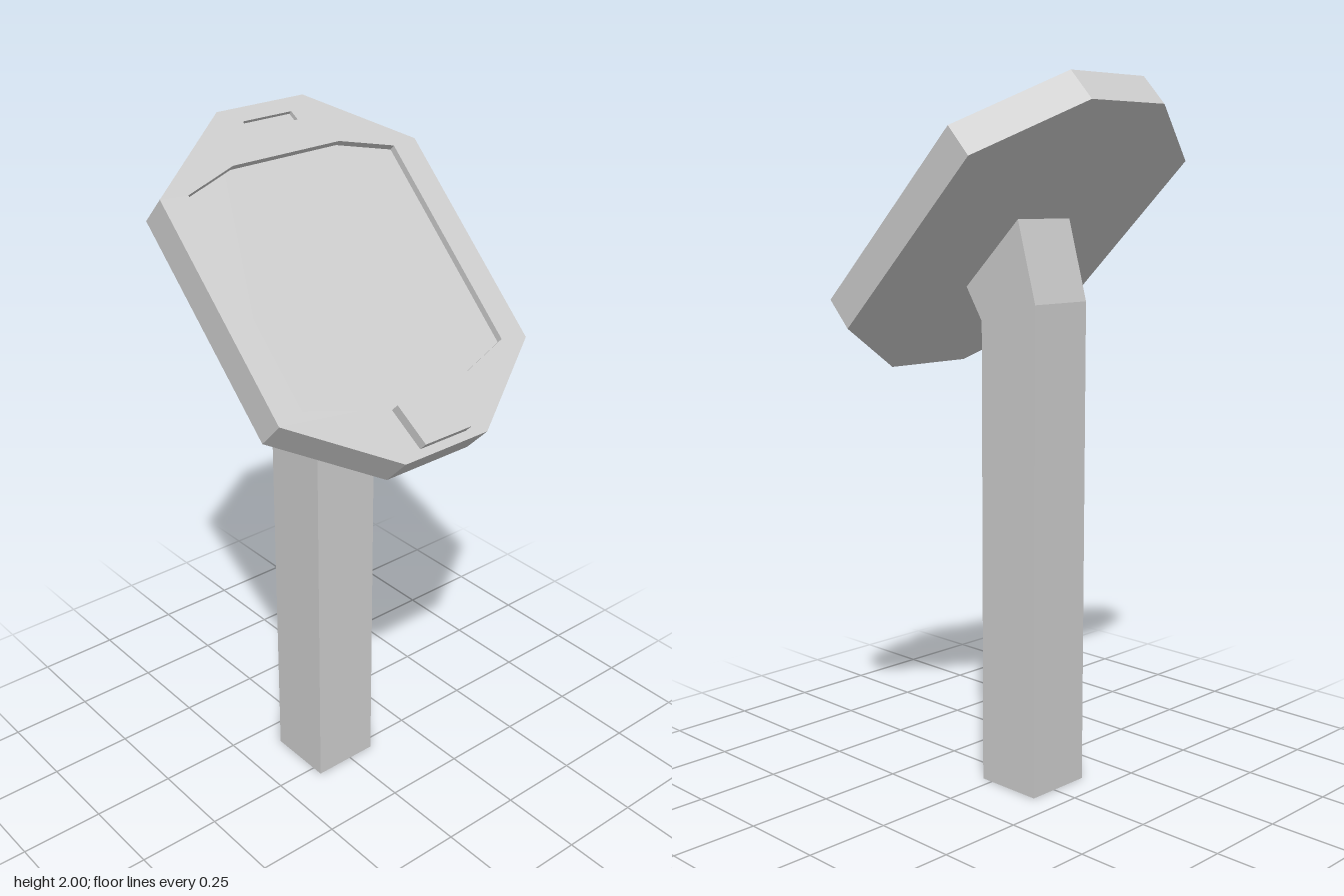
import * as THREE from 'three';

const material = new THREE.MeshStandardMaterial({ color: 0xcccccc, flatShading: true });
const points = (list) => list.map(([x, y]) => new THREE.Vector2(x, y));

// Mirrors a right-hand profile (bottom to top) into a full closed outline.
const mirrored = (half) => points([...half, ...half.map(([x, y]) => [-x, y]).reverse()]);

// Straight slab from an outline, spanning z0 to z1, with optional openings.
function slab(name, outline, z0, z1, holes = []) {
  const shape = new THREE.Shape(outline);
  shape.holes = holes.map((h) => new THREE.Path(h));
  const geometry = new THREE.ExtrudeGeometry(shape, { depth: z1 - z0, bevelEnabled: false });
  geometry.translate(0, 0, z0);
  const mesh = new THREE.Mesh(geometry, material);
  mesh.name = name;
  return mesh;
}

export function createModel() {
  const model = new THREE.Group();
  model.name = 'displayPost';

  // Post: side profile with a slanted head, given as [-z, y] and extruded along x
  const profile = points([[-0.035, 0], [0.17, 0], [0.17, 1.4], [0.105, 1.627], [-0.095, 1.438], [-0.035, 1.345]]);
  const post = slab('post', profile, -0.12, 0.085);
  post.geometry.rotateY(Math.PI / 2);
  model.add(post);

  // Tilted head; its local z = 0 is the front surface
  const head = new THREE.Group();
  head.name = 'head';
  head.position.set(0, 1.635, 0.0375);
  head.rotation.x = -0.809;
  model.add(head);

  const octagon = mirrored([[0.143, -0.529], [0.427, -0.326], [0.427, 0.326], [0.143, 0.529]]);
  const screen = mirrored([[0.178, -0.36], [0.345, -0.308], [0.345, 0.319], [0.178, 0.37]]);
  const slot = mirrored([[0.086, 0.459], [0.08, 0.487]]);
  const button = mirrored([[0.08, -0.506], [0.1, -0.385]]);

  head.add(
    slab('backPlate', octagon, -0.103, -0.02),
    slab('frontBezel', octagon, -0.02, 0, [screen, slot]), // screen and slot are sunk
    slab('slotFloor', slot, -0.02, -0.012),
    slab('button', button, -0.01, 0.03),
  );
  return model;
}
